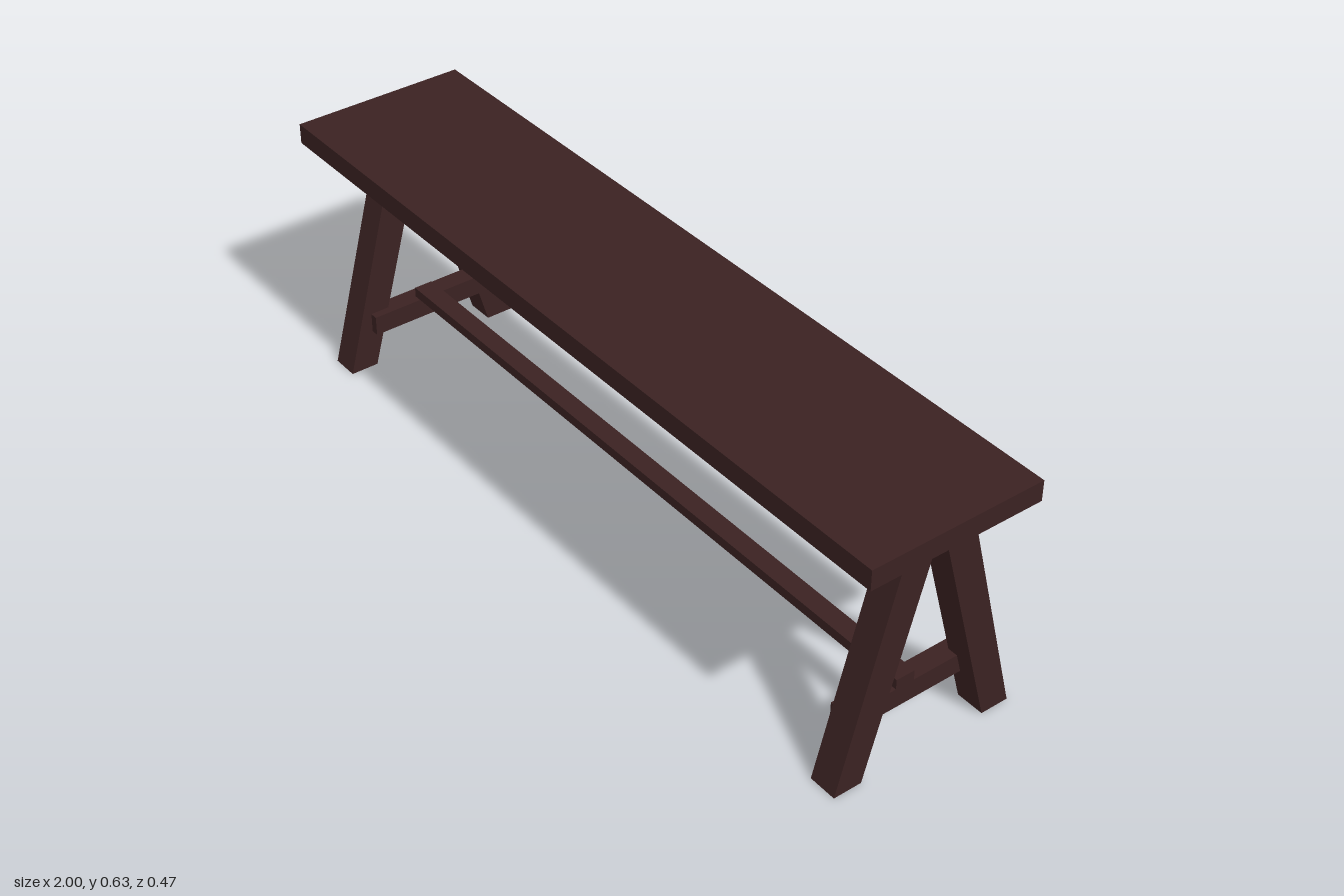
import * as THREE from 'three';

export function createModel() {
  const group = new THREE.Group();
  const darkWood = new THREE.MeshStandardMaterial({ color: 0x3b2222 });
  darkWood.name = 'darkWood';

  // Box given by its minimum and maximum on each axis
  function board(name, [x0, x1], [y0, y1], [z0, z1]) {
    const mesh = new THREE.Mesh(new THREE.BoxGeometry(x1 - x0, y1 - y0, z1 - z0), darkWood);
    mesh.position.set((x0 + x1) / 2, (y0 + y1) / 2, (z0 + z1) / 2);
    mesh.name = name;
    group.add(mesh);
  }

  // Slanted leg: a box whose top and bottom ends are sheared to stay level
  function leg(name, x, side) {
    const geo = new THREE.BoxGeometry(0.07, 0.58, 1);
    const pos = geo.attributes.position;
    for (let i = 0; i < pos.count; i++) {
      const outer = pos.getZ(i) * side > 0;
      const top = pos.getY(i) > 0;
      const z = top ? (outer ? 0.079 : 0.001) : (outer ? 0.235 : 0.164);
      pos.setZ(i, z * side);
    }
    geo.computeVertexNormals();
    const mesh = new THREE.Mesh(geo, darkWood);
    mesh.position.set(x, 0.29, 0);
    mesh.name = name;
    group.add(mesh);
  }

  // Seat plank
  board('seat', [-1, 1], [0.58, 0.63], [-0.198, 0.235]);

  // A-frame trestles
  for (const [end, x] of [['right', -0.885], ['left', 0.905]]) {
    leg(end + 'FrontLeg', x, 1);
    leg(end + 'BackLeg', x, -1);
  }

  // Cross bars joining each pair of legs
  board('rightCrossBar', [-0.88, -0.83], [0.1, 0.15], [-0.17, 0.17]);
  board('leftCrossBar', [0.845, 0.895], [0.1, 0.15], [-0.17, 0.17]);

  // Long stretcher resting on the cross bars
  board('stretcher', [-0.85, 0.895], [0.15, 0.175], [-0.005, 0.043]);

  return group;
}
